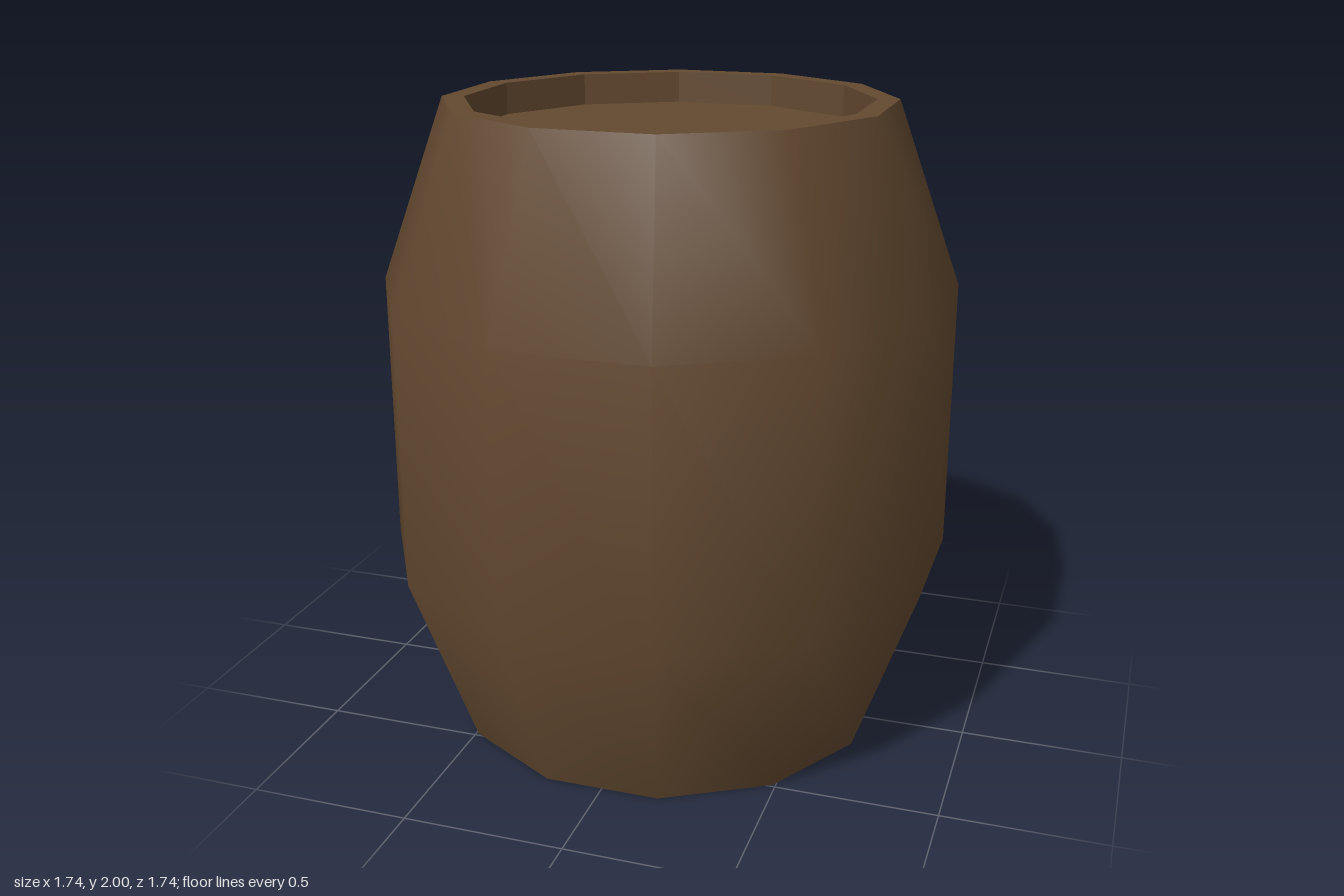
import * as THREE from 'three';

const SIDES = 12;
const END_R = 0.694, BELLY_R = 0.9, INNER_R = 0.626, RECESS = 0.1;

export function createModel() {
  const barrel = new THREE.Group();
  barrel.name = 'barrel';
  const wood = new THREE.MeshStandardMaterial({ color: 0x634930 });
  wood.name = 'brown wood';

  // Twelve-sided surface of revolution with flats facing the axes
  function ring(name, profile, flat = false) {
    const points = profile.map(([r, y]) => new THREE.Vector2(r, y));
    let geometry = new THREE.LatheGeometry(points, SIDES, Math.PI / SIDES);
    if (flat) {
      geometry = geometry.toNonIndexed();
      geometry.computeVertexNormals();
    }
    const mesh = new THREE.Mesh(geometry, wood);
    mesh.name = name;
    barrel.add(mesh);
  }

  // Bulging staves, smooth shaded
  ring('staves', [[END_R, 0], [BELLY_R, 0.57], [BELLY_R, 1.43], [END_R, 2]]);

  // Top end: rim, recess wall and sunken lid
  ring('topRim', [[END_R, 2], [INNER_R, 2]], true);
  ring('topRecessWall', [[INNER_R, 2], [INNER_R, 2 - RECESS]], true);
  ring('topLid', [[INNER_R, 2 - RECESS], [0, 2 - RECESS]]);

  // Bottom end, mirrored
  ring('bottomLid', [[0, RECESS], [INNER_R, RECESS]]);
  ring('bottomRecessWall', [[INNER_R, RECESS], [INNER_R, 0]], true);
  ring('bottomRim', [[INNER_R, 0], [END_R, 0]], true);

  return barrel;
}
